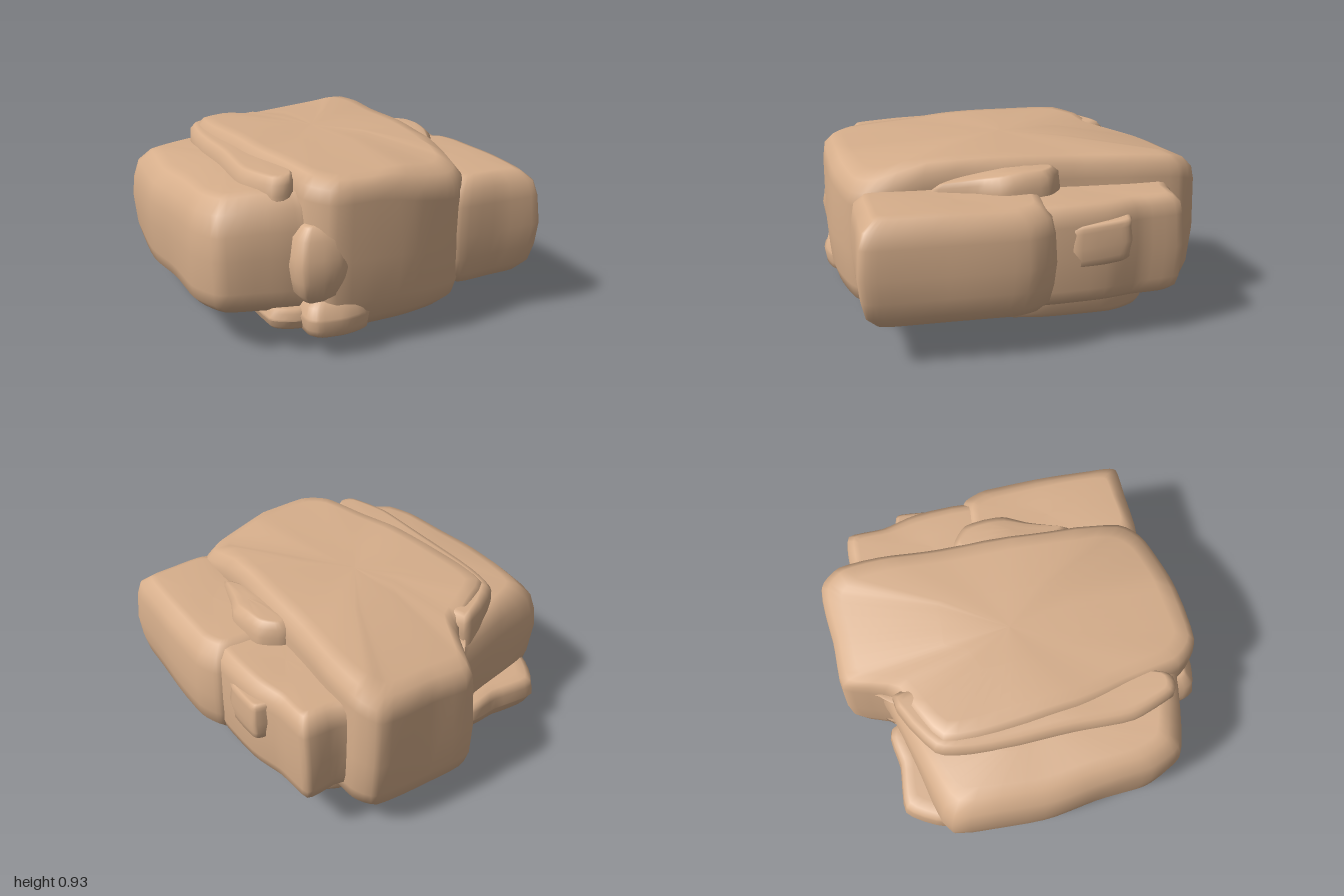
import * as THREE from 'three';

const sandstone = new THREE.MeshStandardMaterial({ color: 0xd6ae8b });
sandstone.name = 'sandstone';

// Gentle deterministic unevenness so faces are not perfectly flat
const ripple = (x, y, z) => Math.sin(7 * x + 3 * z + 2 * y) * Math.sin(6 * z - 4 * y + 1);
const over = (v) => Math.max(0, v);

// A worn stone: a plan outline of [x, z] corners lofted from y0 to y1 with rounded rims.
// lift(x, z) raises the top and drop(x, z) the bottom, relative to y1 and y0.
function stone(name, outline, y0, y1, { top = 0.08, bottom = 0.08, rimTop = 0.09, rimBottom = 0.09,
  lift = () => 0, drop = () => 0, rough = 0.01 } = {}) {
  const curve = new THREE.CatmullRomCurve3(outline.map(([x, z]) => new THREE.Vector3(x, 0, z)), true, 'catmullrom', 0.28);
  const per = 4, n = outline.length * per;
  const plan = [];
  for (let i = 0; i < n; i++) plan.push(curve.getPoint(i / n));
  let area = 0;
  plan.forEach((p, i) => { const q = plan[(i + 1) % n]; area += p.x * q.z - q.x * p.z; });
  if (area > 0) plan.reverse();
  const box = new THREE.Box3().setFromPoints(plan);
  const c = box.getCenter(new THREE.Vector3()), s = box.getSize(new THREE.Vector3());

  // Rings from the bottom centre to the top centre: [inset, y, extra shrink]
  const h = y1 - y0, far = Math.min(s.x, s.z) * 0.5;
  const rb = Math.min(rimBottom, h * 0.45), rt = Math.min(rimTop, h * 0.45);
  const rings = [
    [0, y0, 0], [bottom, y0, 0.4], [bottom + far * 0.12, y0, 1], [bottom, y0 + rb * 0.08, 1],
    [bottom * 0.35, y0 + rb * 0.45, 1], [0.01, y0 + rb, 1], [0, y0 + h * 0.5, 1], [0.01, y1 - rt, 1],
    [top * 0.35, y1 - rt * 0.4, 1], [top, y1 - rt * 0.06, 1], [top + far * 0.12, y1, 1], [top, y1, 0.4], [0, y1, 0],
  ];
  const pos = [], index = [];
  rings.forEach(([inset, y, shrink], r) => {
    const kx = shrink * (1 - (2 * inset) / s.x), kz = shrink * (1 - (2 * inset) / s.z);
    plan.forEach((p) => {
      const x = c.x + (p.x - c.x) * kx, z = c.z + (p.z - c.z) * kz;
      const t = (y - y0) / h, w = ripple(x, y, z) * rough;
      pos.push(x + w, y + t * lift(x, z) + (1 - t) * drop(x, z) + w * 0.6, z + w);
    });
    if (r === 0) return;
    for (let i = 0; i < n; i++) {
      const j = (i + 1) % n, a = (r - 1) * n + i, b = (r - 1) * n + j, d = r * n + i, e = r * n + j;
      if (r > 1) index.push(a, b, e);
      if (r < rings.length - 1) index.push(a, e, d);
    }
  });
  const g = new THREE.BufferGeometry();
  g.setAttribute('position', new THREE.Float32BufferAttribute(pos, 3));
  g.setIndex(index);
  g.computeVertexNormals();
  const mesh = new THREE.Mesh(g, sandstone);
  mesh.name = name;
  return mesh;
}

export function createModel() {
  const rock = new THREE.Group();
  rock.name = 'rock';

  // Large central slab: crowned along its length, worn down at two opposite corners
  rock.add(stone('centralSlab', [
    [-0.13, -0.97], [0.15, -0.98], [0.47, -0.99], [0.55, -0.88], [0.56, -0.6], [0.55, -0.3], [0.53, 0.2], [0.53, 0.73],
    [0.42, 0.86], [0.15, 0.94], [-0.26, 0.97], [-0.4, 0.84], [-0.46, 0.55], [-0.54, 0.25], [-0.58, -0.1],
    [-0.59, -0.48], [-0.25, -0.68],
  ], 0.065, 0.925, {
    top: 0.06, rimTop: 0.12, bottom: 0.1, rimBottom: 0.19,
    lift: (x, z) => -0.045 * z * z - 0.3 * over(x + z - 0.95) - 0.25 * over(-z - 0.55 - 0.5 * (x + 0.1)) * (x > -0.3),
    drop: (x, z) => 0.03 * z * z,
  }));

  // Thin ledge showing beside the central slab
  rock.add(stone('sideLedge', [
    [-0.6, -0.53], [-0.25, -0.7], [-0.2, -0.3], [-0.3, 0.4], [-0.42, 0.77], [-0.53, 0.78], [-0.62, 0.55],
    [-0.64, 0.2], [-0.65, -0.33],
  ], 0.12, 0.88, { top: 0.04, rimTop: 0.09, bottom: 0.1 }));

  // Right-hand boulder, falling away outward and to the rear
  rock.add(stone('rightBoulder', [
    [-0.95, -0.5], [-0.6, -0.64], [-0.22, -0.74], [-0.12, -0.85], [-0.05, 0], [-0.3, 0.82], [-0.42, 0.86],
    [-0.6, 0.83], [-0.8, 0.78], [-0.89, 0.6], [-0.93, 0.3], [-0.97, 0],
  ], 0.2, 0.81, {
    top: 0.1, rimTop: 0.18, bottom: 0.07, rimBottom: 0.13,
    lift: (x, z) => -0.1 * over(-x - 0.6) - 0.15 * over(-z - 0.3),
    drop: (x, z) => 0.1 * over(-z - 0.2),
  }));

  // Left-hand boulder and the narrower block behind it
  rock.add(stone('leftBoulder', [
    [0.4, -0.12], [0.8, -0.15], [0.9, -0.12], [0.96, 0.02], [0.96, 0.4], [0.96, 0.74], [0.93, 0.83], [0.72, 0.84],
    [0.47, 0.85], [0.38, 0.74],
  ], 0.19, 0.78, { top: 0.08, rimTop: 0.14, bottom: 0.08, rimBottom: 0.17, drop: (x) => 0.05 * (x - 0.6) }));
  rock.add(stone('rearLeftBlock', [
    [0.35, -0.82], [0.6, -0.83], [0.78, -0.82], [0.81, -0.6], [0.86, -0.4], [0.87, 0.05], [0.6, 0.2], [0.35, 0.1],
  ], 0.22, 0.76, { top: 0.06, rimTop: 0.1, bottom: 0.07, rimBottom: 0.1 }));
  rock.add(stone('leftSideKnob', [
    [0.7, -0.53], [0.87, -0.52], [0.89, -0.46], [0.87, -0.22], [0.7, -0.2],
  ], 0.45, 0.68, { top: 0.02, bottom: 0.03, rimTop: 0.04, rimBottom: 0.05, rough: 0,
    lift: (x, z) => -0.12 * (z + 0.4), drop: (x, z) => -0.15 * (z + 0.4) }));

  // Wedge resting against the upper left edge
  rock.add(stone('upperLeftWedge', [
    [0.45, -0.2], [0.55, -0.23], [0.66, -0.15], [0.69, 0.08], [0.63, 0.22], [0.55, 0.45], [0.46, 0.3],
  ], 0.6, 0.88, { top: 0.05, rimTop: 0.08, lift: (x, z) => -0.15 * over(z) }));

  // Knobs on the front right corner and the flared foot of the front face
  rock.add(stone('frontKnob', [
    [-0.46, 0.72], [-0.46, 0.9], [-0.42, 0.97], [-0.3, 0.99], [-0.19, 0.96], [-0.18, 0.72],
  ], 0.27, 0.67, { top: 0.07, rimTop: 0.15, bottom: 0.07, rimBottom: 0.13 }));
  rock.add(stone('lowerFrontKnob', [
    [-0.58, 0.55], [-0.57, 0.8], [-0.48, 0.86], [-0.36, 0.86], [-0.3, 0.55],
  ], 0.12, 0.23, { top: 0.03, bottom: 0.03 }));
  rock.add(stone('frontFoot', [
    [-0.39, 0.7], [-0.41, 0.92], [-0.36, 0.98], [-0.22, 0.99], [-0.08, 0.94], [0, 0.7],
  ], 0.1, 0.3, { top: 0.06, rimTop: 0.13, bottom: 0.04, rimBottom: 0.05 }));

  // Broad stone under the right-hand side, reaching out at the rear
  rock.add(stone('lowRightStone', [
    [-0.66, 0.42], [-0.77, 0.05], [-0.84, -0.3], [-0.87, -0.55], [-0.75, -0.75], [-0.5, -0.75], [-0.28, -0.77],
    [-0.1, -0.4], [-0.15, 0.3], [-0.4, 0.55],
  ], 0.005, 0.33, {
    top: 0.04, rimTop: 0.08, bottom: 0.1, rimBottom: 0.14, rough: 0.006,
    drop: (x, z) => 0.1 * over(x + 0.55) + 0.22 * over(-z - 0.25) + 0.25 * over(z - 0.15),
  }));

  // Stone under the left-hand side
  rock.add(stone('lowLeftStone', [
    [0.4, -0.7], [0.6, -0.68], [0.71, -0.5], [0.72, -0.1], [0.64, 0.2], [0.4, 0.3],
  ], 0.09, 0.32, { bottom: 0.04, rimBottom: 0.09 }));

  return rock;
}
